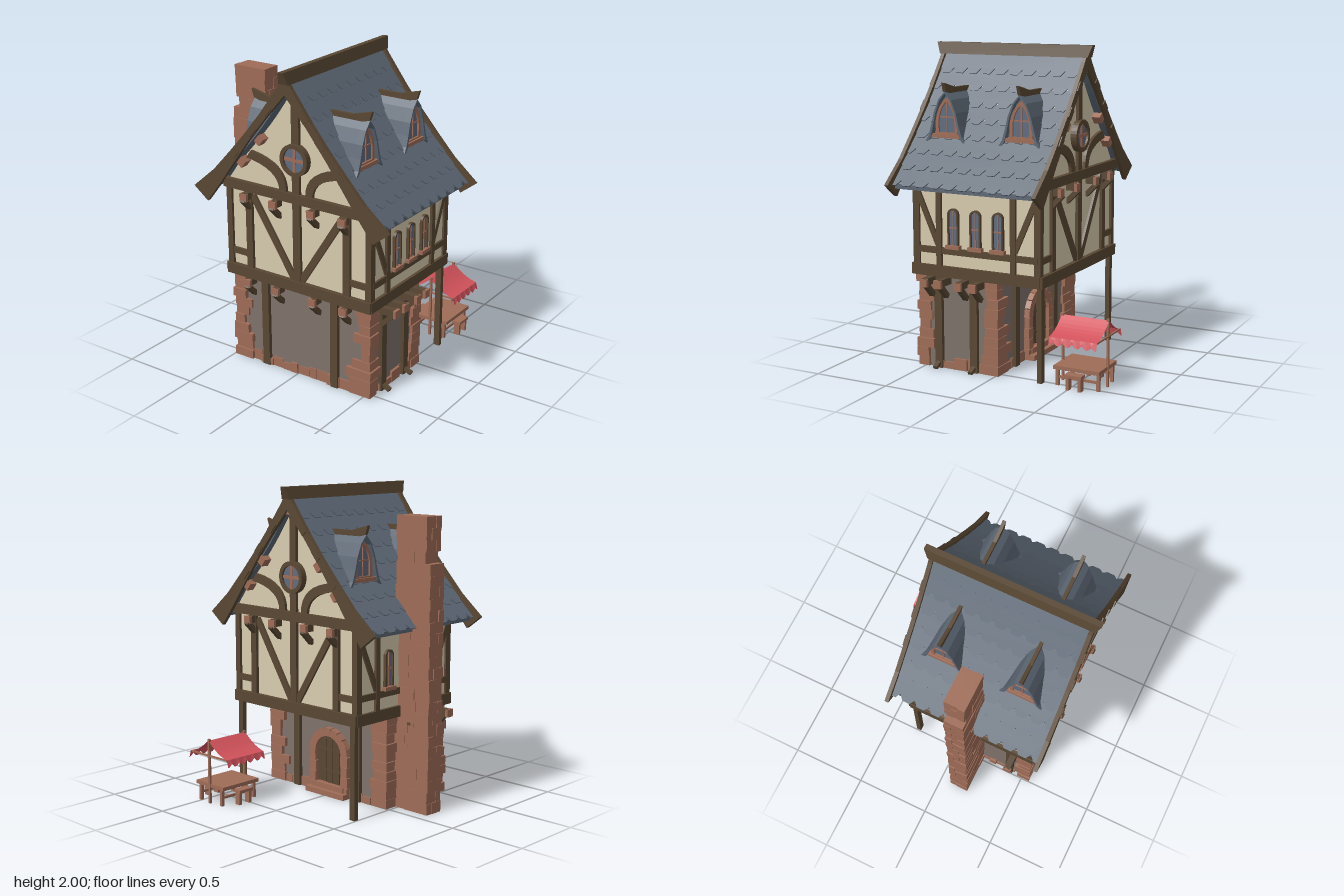
import * as THREE from 'three';

const mat = (name, color, extra = {}) => Object.assign(new THREE.MeshStandardMaterial({ color, ...extra }), { name });
const wood = mat('dark timber', 0x594733);
const brick = mat('clay brick', 0x9f6c57);
const cream = mat('cream plaster', 0xd8ccaf);
const grey = mat('grey plaster', 0x7f726b);
const slate = mat('slate', 0x5d6875);
const glass = mat('window glass', 0x5f6c80);
const red = mat('red cloth', 0xd2525b, { side: THREE.DoubleSide });

let seed = 7;
const rnd = (a, b) => { seed = (seed * 16807) % 2147483647; return a + (b - a) * seed / 2147483647; };

function add(parent, name, geo, m, x = 0, y = 0, z = 0) {
  const mesh = new THREE.Mesh(geo, m);
  mesh.name = name;
  mesh.position.set(x, y, z);
  parent.add(mesh);
  return mesh;
}
const box = (p, name, m, w, h, d, x, y, z) => add(p, name, new THREE.BoxGeometry(w, h, d), m, x, y, z);
// box given by its limits
const span = (p, name, m, x0, x1, y0, y1, z0, z1) =>
  box(p, name, m, x1 - x0, y1 - y0, z1 - z0, (x0 + x1) / 2, (y0 + y1) / 2, (z0 + z1) / 2);
// slanted timber between two points of a wall
function beam(p, name, x0, y0, x1, y1, w, d, z) {
  const b = box(p, name, wood, Math.hypot(x1 - x0, y1 - y0), w, d, (x0 + x1) / 2, (y0 + y1) / 2, z);
  b.rotation.z = Math.atan2(y1 - y0, x1 - x0);
}
const poly = pts => new THREE.Shape(pts.map(p => new THREE.Vector2(...p)));
const flip = pts => pts.slice().reverse().map(([x, y]) => [-x, y]);
const extrude = (shape, depth, curveSegments = 8) => new THREE.ExtrudeGeometry(shape, { depth, bevelEnabled: false, curveSegments });
function group(parent, name, x = 0, y = 0, z = 0, ry = 0) {
  const g = new THREE.Group();
  g.name = name;
  g.position.set(x, y, z);
  g.rotation.y = ry;
  parent.add(g);
  return g;
}
// group whose local z = 0 plane is an outer wall face
const face = (parent, name, angle, dist) => group(group(parent, name, 0, 0, 0, angle), name + 'Face', 0, 0, dist);

// closed arch outline, round or pointed, standing on y = 0
function arch(w, h, pointed) {
  const s = new THREE.Shape(), r = w / 2;
  s.moveTo(-r, 0).lineTo(r, 0);
  if (pointed) {
    s.lineTo(r, h * 0.4);
    s.quadraticCurveTo(r * 0.8, h * 0.8, 0, h).quadraticCurveTo(-r * 0.8, h * 0.8, -r, h * 0.4);
  } else s.lineTo(r, h - r).absarc(0, h - r, r, 0, Math.PI, false);
  s.closePath();
  return s;
}
function archWindow(p, w, h, x, y, z, m, pointed) {
  const g = group(p, 'window', x, y, z), s = arch(w, h, pointed), t = w * 0.14;
  const hole = arch(w - 2 * t, h - 2 * t, pointed).getPoints(8).map(v => new THREE.Vector2(v.x, v.y + t));
  s.holes.push(new THREE.Path(hole));
  add(g, 'frame', extrude(s, 0.02), m);
  add(g, 'pane', extrude(arch(w * 0.9, h * 0.96, pointed), 0.008), glass);
  box(g, 'mullion', brick, 0.008, h * 0.9, 0.008, 0, h * 0.48, 0.01);
  box(g, 'crossbar', brick, w * 0.8, 0.008, 0.008, 0, h * 0.5, 0.01);
  box(g, 'sill', brick, w * 1.3, 0.024, 0.035, 0, 0, 0.014);
}
// projecting joist with brick end and strut
function corbel(p, x, top, reach) {
  span(p, 'joist', wood, x - 0.02, x + 0.02, top - 0.045, top, -0.02, reach);
  span(p, 'joistEnd', brick, x - 0.026, x + 0.026, top - 0.05, top, reach - 0.015, reach + 0.005);
  const s = box(p, 'strut', wood, 0.034, 0.03, 0.11, x, top - 0.08, reach * 0.5);
  s.rotation.x = -Math.PI / 4;
}

// arched door with surround stones and steps
function door(p) {
  const f = group(p, 'doorway', 0.03, 0, 0);
  add(f, 'door', extrude(arch(0.25, 0.4), 0.012), wood);
  for (const x of [-0.06, 0, 0.06]) span(f, 'doorBatten', wood, x - 0.024, x + 0.024, 0.08, 0.36, 0, 0.018);
  for (const y of [0.15, 0.29]) span(f, 'doorStrap', wood, -0.1, 0.1, y, y + 0.012, 0, 0.022);
  for (const s of [-1, 1]) for (let i = 0; i < 4; i++)
    box(f, 'jambStone', brick, rnd(0.05, 0.065), 0.066, 0.05, s * 0.14, 0.034 + i * 0.069, 0.012);
  for (let i = 0; i < 9; i++) {
    const t = Math.PI * (i + 0.5) / 9;
    box(f, 'archStone', brick, 0.055, 0.052, 0.05, Math.cos(t) * 0.14, 0.275 + Math.sin(t) * 0.14, 0.012).rotation.z = t;
  }
  span(f, 'lowerStep', brick, -0.17, 0.17, 0, 0.035, 0, 0.075);
  span(f, 'upperStep', brick, -0.14, 0.14, 0.035, 0.07, 0, 0.045);
}

function lowerFloor(root) {
  const g = group(root, 'lowerFloor', 0.03, 0, 0.265), hx = 0.5, hz = 0.265;
  // corner stones, row by row
  for (const sx of [-1, 1]) for (const sz of [-1, 1]) for (let i = 0; i < 10; i++) {
    const w = rnd(0.05, 0.12) + (i < 3 ? 0.04 : 0), d = rnd(0.05, 0.1), o = rnd(0.01, 0.028);
    box(g, 'cornerStone', brick, w + o, 0.0575, d + o, sx * (hx + o - (w + o) / 2), 0.03 + i * 0.06, sz * (hz + o - (d + o) / 2));
  }
  for (const [name, a, half, dist, posts, joists, reach] of [
    ['front', 0, hx, hz, [-0.27, 0.255], [-0.37, -0.15, 0.13, 0.355], 0.075],
    ['back', Math.PI, hx, hz, [-0.27, 0.27], [], 0],
    ['rightSide', Math.PI / 2, hz, hx, [-0.135, 0.115], [-0.17, -0.07, 0.07, 0.17], 0.135],
    ['leftSide', -Math.PI / 2, hz, hx, [-0.115, 0.135], [-0.17, 0.17], 0.15]]) {
    const f = face(g, name, a, dist);
    span(f, 'plasterWall', grey, -half, half, 0, 0.6, -0.015, 0);
    for (let x = -half + 0.1; x < half - 0.1;) {
      const w = rnd(0.05, 0.1);
      span(f, 'baseStone', brick, x, x + w - 0.003, 0, rnd(0.04, 0.075), -0.01, rnd(0.005, 0.018));
      x += w;
    }
    for (const x of posts) span(f, 'post', wood, x - 0.026, x + 0.026, 0, 0.6, -0.01, 0.025);
    for (const x of joists) corbel(f, x, 0.59, reach);
    if (name === 'rightSide') for (const x of posts)
      beam(group(f, 'postFoot', x, 0, 0.03, Math.PI / 2), 'foot', -0.04, 0.012, 0.02, 0.04, 0.02, 0.03, 0);
    if (name === 'back') door(f);
  }
}

function upperFloor(root) {
  const g = group(root, 'upperFloor', 0.025, 0, 0.125), hx = 0.525, hz = 0.425;
  const slope = [[hx, 0.6], [hx, 1.22], [0.4, 1.395], [0.275, 1.56], [0.15, 1.71]];
  add(g, 'plasterWalls', extrude(poly([...slope, [0, 1.88], ...flip(slope)]), hz * 2), cream, 0, 0, -hz);
  for (const sx of [-1, 1]) for (const sz of [-1, 1]) {
    box(g, 'cornerPost', wood, 0.04, 0.58, 0.045, sx * 0.518, 0.9, sz * 0.42);
    if (sz < 0) span(g, 'porchPost', wood, sx * 0.5 - 0.02, sx * 0.5 + 0.02, 0, 0.6, -0.44, -0.41);
  }
  for (const a of [0, Math.PI]) {
    const f = face(g, 'gableWall', a, hz);
    span(f, 'sillBeam', wood, -0.54, 0.54, 0.59, 0.66, -0.03, 0.03);
    span(f, 'tieBeam', wood, -0.55, 0.55, 1.17, 1.23, -0.01, 0.03);
    span(f, 'kingPost', wood, -0.027, 0.027, 0.66, 1.87, -0.01, 0.02);
    for (const s of [-1, 1]) {
      span(f, 'stud', wood, s * 0.363 - 0.024, s * 0.363 + 0.024, 0.66, 1.17, -0.01, 0.02);
      beam(f, 'diagonalBrace', s * 0.335, 1.15, s * 0.01, 0.64, 0.045, 0.025, 0.003);
      box(f, 'shortRail', wood, 0.15, 0.04, 0.025, s * 0.45, 0.75, 0.003);
      corbel(f, s * 0.363, 1.17, 0.07);
      corbel(f, s * 0.14, 1.17, 0.07);
      // curved brace
      const b = new THREE.Shape();
      b.moveTo(s * 0.07, 1.23).lineTo(s * 0.122, 1.23).quadraticCurveTo(s * 0.125, 1.36, s * 0.37, 1.39);
      b.lineTo(s * 0.335, 1.44).quadraticCurveTo(s * 0.07, 1.405, s * 0.07, 1.23);
      add(f, 'curvedBrace', extrude(b, 0.02), wood);
      // purlin ends under the verge
      for (const [x, y] of [[0.245, 1.53], [0.383, 1.365]]) box(f, 'purlinEnd', brick, 0.055, 0.045, 0.07, s * x, y, 0.02).rotation.z = -s * 0.9;
    }
    box(f, 'ridgePurlinEnd', brick, 0.045, 0.05, 0.07, 0, 1.855, 0.02);
    // round window
    const ring = new THREE.Shape().absarc(0, 0, 0.1, 0, Math.PI * 2);
    ring.holes.push(new THREE.Path().absarc(0, 0, 0.074, 0, Math.PI * 2));
    add(f, 'roundFrame', extrude(ring, 0.04, 16), wood, 0, 1.445, 0);
    add(f, 'roundPane', extrude(new THREE.Shape().absarc(0, 0, 0.08, 0, Math.PI * 2), 0.008, 16), glass, 0, 1.445, 0.018);
    box(f, 'roundMullion', brick, 0.02, 0.15, 0.008, 0, 1.445, 0.028);
    box(f, 'roundCrossbar', brick, 0.15, 0.02, 0.008, 0, 1.445, 0.028);
  }
  for (const a of [Math.PI / 2, -Math.PI / 2]) {
    const f = face(g, 'sideWall', a, hx);
    span(f, 'sillBeam', wood, -0.44, 0.44, 0.59, 0.66, -0.03, 0.02);
    span(f, 'rail', wood, -0.42, 0.42, 0.735, 0.775, -0.01, 0.015);
    for (const s of [-1, 1]) {
      span(f, 'stud', wood, s * 0.257 - 0.018, s * 0.257 + 0.018, 0.66, 1.2, -0.01, 0.018);
      beam(f, 'diagonalBrace', s * 0.415, 1.13, s * 0.265, 0.79, 0.035, 0.022, 0.003);
    }
    for (const x of [-0.155, 0, 0.155]) archWindow(f, 0.075, 0.24, x, 0.785, 0, wood, false);
  }
}

function roof(root) {
  const g = group(root, 'roof', 0.022, 0, 0.145);
  const curve = new THREE.CatmullRomCurve3([[0, 1.93], [0.17, 1.69], [0.4, 1.42], [0.635, 1.175]].map(p => new THREE.Vector3(...p, 0)));
  const rows = 8, L = 0.98, len = curve.getLength() / rows;
  for (const a of [0, Math.PI]) {
    const h = group(g, 'roofSlope', 0, 0, 0, a);
    const top = curve.getSpacedPoints(12).map(p => [p.x, p.y - 0.01]);
    add(h, 'roofBoards', extrude(poly([...top.slice().reverse(), ...top.map(([x, y]) => [x, y - 0.03])]), L), slate, 0, 0, -L / 2);
    // courses of six-sided slates with staggered teeth
    for (let i = 0; i < rows; i++) {
      const p0 = curve.getPointAt(i / rows), p1 = curve.getPointAt((i + 1) / rows);
      const up = p0.clone().sub(p1).normalize(), n = new THREE.Vector3(up.y, -up.x, 0);
      const pts = [[L / 2, len], [-L / 2, len]];
      for (let k = 0; k <= 40; k++) pts.push([-L / 2 + L * k / 40, (k + 2 * (i % 2)) % 4 ? -0.03 : 0.01]);
      const c = add(h, 'slateCourse', extrude(poly(pts), 0.007), slate);
      c.matrix.makeBasis(new THREE.Vector3(0, 0, -1), up, n).setPosition(p1.addScaledVector(n, 0.004));
      c.matrix.decompose(c.position, c.quaternion, c.scale);
      c.rotateX(-0.05);
    }
    for (const z of [-0.258, 0.258]) {
      // bell shaped dormer with a projecting hood
      const d = group(h, 'dormer', 0, 0, z, Math.PI / 2);
      const half = [[0.14, 1.41], [0.118, 1.445], [0.098, 1.51], [0.078, 1.59], [0.045, 1.67]];
      const line = [...half, [0, 1.72], ...flip(half)];
      const inner = line.map(([x, y]) => [x * 0.88, y < 1.42 ? y : y - 0.012]).reverse();
      add(d, 'dormerBody', extrude(poly(line), 0.29), slate, 0, 0, 0.09);
      add(d, 'dormerHood', extrude(poly([...line, ...inner]), 0.04), slate, 0, 0, 0.38);
      archWindow(d, 0.155, 0.235, 0, 1.445, 0.38, brick, true);
      const cap = poly([[0.14, 1.7], [0.32, 1.695], [0.42, 1.72], [0.438, 1.775], [0.3, 1.74], [0.14, 1.74]]);
      add(h, 'dormerRidge', extrude(cap, 0.022), wood, 0, 0, z - 0.011);
    }
  }
  // verge boards with pegs
  const side = [[0.05, 1.9], [0.185, 1.72], [0.3, 1.58], [0.42, 1.445], [0.55, 1.305], [0.715, 1.165],
    [0.61, 1.085], [0.52, 1.2], [0.4, 1.365], [0.275, 1.535], [0.15, 1.69]];
  const verge = poly([[0, 1.98], ...side, [0, 1.86], ...flip(side)]);
  for (const a of [0, Math.PI]) {
    const f = face(g, 'verge', a, 0.488);
    add(f, 'vergeBoard', extrude(verge, 0.026), wood);
    for (const s of [-1, 1]) for (const [x, y] of [[0.13, 1.75], [0.25, 1.605], [0.38, 1.445]])
      box(f, 'vergePeg', wood, 0.07, 0.04, 0.015, s * x, y, 0.026).rotation.z = -s * 0.87;
  }
  // ridge beam with raked ends
  const ridge = new THREE.BoxGeometry(0.07, 0.075, 1.1), p = ridge.attributes.position;
  for (let i = 0; i < p.count; i++) p.getY(i) > 0 ? p.setX(i, p.getX(i) * 0.5) : p.setZ(i, p.getZ(i) * 0.95);
  ridge.computeVertexNormals();
  add(g, 'ridgeBeam', ridge, wood, 0, 1.9625, 0);
}

function chimney(root) {
  const g = group(root, 'chimney', 0, 0, 0.137);
  for (let i = 0; i < 26; i++) {
    const y = i * 0.0705, upper = y > 1.5, cap = i > 22;
    const x0 = upper ? -0.695 - (cap ? 0.015 : 0) : -0.737, x1 = upper ? -0.495 + (cap ? 0.01 : 0) : -0.475;
    const m = x0 + (x1 - x0) * rnd(0.3, 0.7), zs = i % 2 ? 0.02 : -0.02;
    for (const [a, b] of [[x0, m], [m, x1]]) for (const [c, d] of [[-0.06, zs], [zs, 0.06]])
      span(g, 'chimneyBrick', brick, a - (a === x0 ? rnd(0, 0.01) : 0), b + (b === x1 ? rnd(0, 0.01) : 0), y, y + 0.0705,
        c - (c < -0.05 ? rnd(0, 0.008) : 0), d + (d > 0.05 ? rnd(0, 0.008) : 0));
  }
}

function stall(root) {
  const g = group(root, 'marketStall', 0.41, 0, -0.54);
  // sagging two-slope cloth with scalloped hems
  const sheet = new THREE.PlaneGeometry(0.38, 0.31, 16, 40).rotateX(-Math.PI / 2), p = sheet.attributes.position;
  for (let i = 0; i < p.count; i++) {
    const t = Math.abs(p.getX(i)) / 0.19, hem = t > 0.95 ? 0.02 + 0.022 * Math.abs(Math.sin(p.getZ(i) / 0.31 * Math.PI * 5)) : 0;
    p.setY(i, 0.41 - 0.1 * t - 0.02 * Math.sin(t * Math.PI) - hem);
    p.setX(i, p.getX(i) * (t > 0.95 ? 0.99 : 1.05));
  }
  const cloth = sheet.toNonIndexed();
  cloth.computeVertexNormals();
  add(g, 'canopy', cloth, red);
  for (const z of [-0.148, 0.148]) {
    span(g, 'pole', brick, -0.008, 0.008, 0, 0.42, z - 0.007, z + 0.007);
    span(g, 'canopyArm', brick, -0.17, 0.17, 0.306, 0.316, z - 0.005, z + 0.005);
    for (const x of [-0.1, 0.1]) span(g, 'tableLeg', brick, x - 0.01, x + 0.01, 0, 0.11, z * 0.9 - 0.01, z * 0.9 + 0.01);
  }
  span(g, 'tableTop', brick, -0.13, 0.13, 0.105, 0.128, -0.15, 0.15);
  for (const x of [-0.1, 0.1]) span(g, 'tableRung', brick, x - 0.006, x + 0.006, 0.045, 0.06, -0.13, 0.13);
  for (const s of [-1, 1]) {
    span(g, 'stoolSeat', brick, s * 0.15 - 0.03, s * 0.15 + 0.03, 0.08, 0.098, -0.055, 0.055);
    for (const z of [-0.04, 0.04]) span(g, 'stoolLeg', brick, s * 0.15 - 0.02, s * 0.15 + 0.02, 0, 0.08, z - 0.01, z + 0.01);
  }
}

export function createModel() {
  const root = new THREE.Group();
  root.name = 'timberHouse';
  [lowerFloor, upperFloor, roof, chimney, stall].forEach(build => build(root));
  return root;
}
